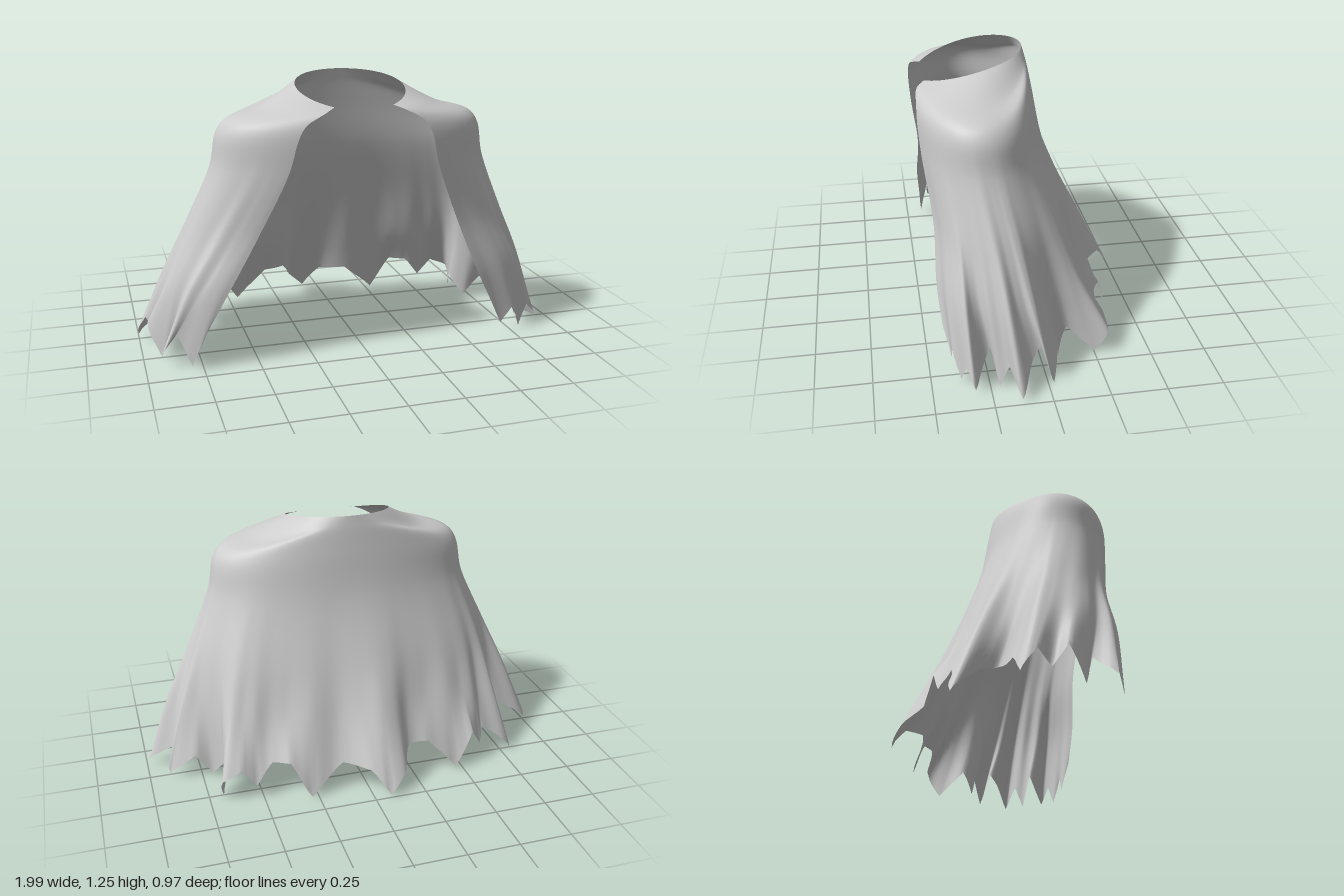
import * as THREE from 'three';

const CENTRE_X = -0.02;

// Smooth rings from neck to hem. rx: half width, zc: middle z, rf / rb: depth to front / back,
// gap: half angle of the front opening, n: squareness, rise: extra height at the back,
// sway / fold: how far the broad and the fine waves of the hem reach up to this ring.
const RINGS = [
  { y: 1.15, rx: 0.25, zc: 0.22, rf: 0.25, rb: 0.25, gap: 32, n: 2, rise: 0, sway: 0, fold: 0, neck: true },
  { y: 1.135, rx: 0.41, zc: 0.22, rf: 0.277, rb: 0.256, gap: 26, n: 2, rise: 0.1, sway: 0, fold: 0 },
  { y: 1.085, rx: 0.57, zc: 0.22, rf: 0.293, rb: 0.265, gap: 28, n: 2, rise: 0.11, sway: 0, fold: 0 },
  { y: 1.03, rx: 0.613, zc: 0.215, rf: 0.3, rb: 0.277, gap: 29, n: 2.1, rise: 0.07, sway: 0, fold: 0 },
  { y: 0.88, rx: 0.64, zc: 0.2, rf: 0.305, rb: 0.303, gap: 31, n: 2.25, rise: 0, sway: 0.05, fold: 0.02 },
  { y: 0.6, rx: 0.74, zc: 0.16, rf: 0.315, rb: 0.36, gap: 35, n: 2.5, rise: 0, sway: 0.3, fold: 0.14 },
  { y: 0.35, rx: 0.81, zc: 0.13, rf: 0.36, rb: 0.43, gap: 39, n: 2.7, rise: 0, sway: 0.75, fold: 0.42 },
];
const HEM_RING = { y: 0, rx: 0.86, zc: 0.1, rf: 0.39, rb: 0.51, gap: 42, n: 2.8, rise: 0 };

// Ragged hem (x, y, z), from the left front edge round the back to the right front edge
const HEM = [
  [0.62, 0.19, 0.43], [0.69, 0.06, 0.40], [0.75, 0.14, 0.40], [0.80, 0.02, 0.37], [0.85, 0.12, 0.35],
  [0.91, 0.04, 0.32], [0.82, 0.08, 0.28], [0.78, 0.16, 0.24], [0.86, 0.01, 0.21], [0.88, 0.12, 0.17],
  [0.99, 0.03, 0.13], [0.87, 0.13, 0.07], [0.84, 0.18, 0.03], [0.90, 0.09, 0.00], [0.90, 0.03, -0.02],
  [0.78, 0.13, -0.06], [0.70, 0.03, -0.08], [0.64, 0.13, -0.13], [0.68, 0.01, -0.25], [0.69, 0.12, -0.31],
  [0.60, 0.16, -0.31], [0.53, 0.08, -0.32], [0.45, 0.18, -0.30], [0.37, 0.18, -0.34], [0.28, 0.01, -0.39],
  [0.12, 0.15, -0.35], [0.00, 0.13, -0.43], [-0.08, 0.02, -0.49], [-0.16, 0.10, -0.45], [-0.22, 0.19, -0.34],
  [-0.32, 0.18, -0.33], [-0.46, 0.03, -0.36], [-0.56, 0.18, -0.32], [-0.61, 0.10, -0.30], [-0.65, 0.17, -0.25],
  [-0.80, 0.02, -0.26], [-0.74, 0.14, -0.14], [-0.72, 0.16, -0.06], [-0.84, 0.15, -0.02], [-1.00, 0.03, -0.01],
  [-0.97, 0.14, 0.06], [-0.93, 0.08, 0.12], [-0.97, 0.16, 0.18], [-0.92, 0.02, 0.25], [-0.87, 0.15, 0.29],
  [-0.93, 0.06, 0.37], [-0.86, 0.17, 0.38], [-0.80, 0.03, 0.42], [-0.74, 0.17, 0.43],
];

// Point on a ring; f runs from the left front edge (0) round the back to the right front edge (1)
function ringPoint(ring, f) {
  const gap = THREE.MathUtils.degToRad(ring.gap);
  const angle = gap + (2 * Math.PI - 2 * gap) * f;
  const s = Math.sin(angle), c = Math.cos(angle);
  const r = Math.pow(Math.abs(s) ** ring.n + Math.abs(c) ** ring.n, -1 / ring.n);
  const z = ring.zc + (c > 0 ? ring.rf : ring.rb) * r * c;
  const t = z + 0.03;
  const y = ring.neck ? 1.26 - 0.14 * t - 0.2 * t * t : ring.y + ring.rise * Math.max(0, -c) ** 3.5;
  return new THREE.Vector3(CENTRE_X + ring.rx * r * s, y, z);
}

// Finely sampled hem: curved in plan, with straight-sided points in height
function sampleHem(perSegment) {
  const curve = new THREE.CatmullRomCurve3(HEM.map((p) => new THREE.Vector3(...p)));
  const count = (HEM.length - 1) * perSegment;
  const points = [];
  for (let i = 0; i <= count; i++) {
    const p = curve.getPoint(i / count);
    const k = Math.min(Math.floor(i / perSegment), HEM.length - 2);
    p.y = THREE.MathUtils.lerp(HEM[k][1], HEM[k + 1][1], i / perSegment - k);
    points.push(p);
  }
  return points;
}

// Moving average along the hem; the window narrows towards both front edges
function blur(values, radius) {
  return values.map((_, i) => {
    const w = Math.min(radius, i, values.length - 1 - i);
    let sum = 0;
    for (let k = i - w; k <= i + w; k++) sum += values[k];
    return sum / (2 * w + 1);
  });
}

// How far round the body each hem point lies, kept in order so that folds can double back
function hemFractions(points) {
  const { rx, zc, rf, rb } = HEM_RING;
  const angles = points.map((p) => {
    const a = Math.atan2((p.x - CENTRE_X) / rx, (p.z - zc) / (p.z > zc ? rf : rb));
    return a < 0 ? a + 2 * Math.PI : a;
  }).sort((a, b) => a - b);
  const first = angles[0], span = angles[angles.length - 1] - first;
  return blur(angles.map((a) => (a - first) / span), 8);
}

function capeGeometry() {
  const hem = sampleHem(5);
  const fractions = hemFractions(hem);
  const rows = RINGS.length * 7;
  const positions = [], index = [];

  // Offsets of the ragged hem from its smooth ring, fine and averaged
  const base = hem.map((_, i) => ringPoint(HEM_RING, fractions[i]));
  const dx = hem.map((p, i) => p.x - base[i].x), dz = hem.map((p, i) => p.z - base[i].z);
  const broadX = blur(dx, 12), broadZ = blur(dz, 12);

  // One smooth strand of cloth from the neck to each hem point
  hem.forEach((end, i) => {
    const strand = RINGS.map((ring) => {
      const p = ringPoint(ring, fractions[i]);
      p.x += ring.sway * broadX[i] + ring.fold * (dx[i] - broadX[i]);
      p.z += ring.sway * broadZ[i] + ring.fold * (dz[i] - broadZ[i]);
      return p;
    });
    const curve = new THREE.CatmullRomCurve3([...strand, end]);
    for (let j = 0; j <= rows; j++) positions.push(...curve.getPoint(j / rows).toArray());
  });

  for (let i = 0; i < hem.length - 1; i++) {
    for (let j = 0; j < rows; j++) {
      const a = i * (rows + 1) + j, b = a + rows + 1;
      index.push(a, a + 1, b, b, a + 1, b + 1);
    }
  }
  const geometry = new THREE.BufferGeometry();
  geometry.setAttribute('position', new THREE.Float32BufferAttribute(positions, 3));
  geometry.setIndex(index);
  geometry.computeVertexNormals();
  return geometry;
}

export function createModel() {
  const cloth = new THREE.MeshStandardMaterial({ color: 0xcccccc, side: THREE.DoubleSide });
  cloth.name = 'grey cloth';

  const cape = new THREE.Mesh(capeGeometry(), cloth);
  cape.name = 'cape';

  const model = new THREE.Group();
  model.name = 'raggedCape';
  model.add(cape);
  return model;
}
